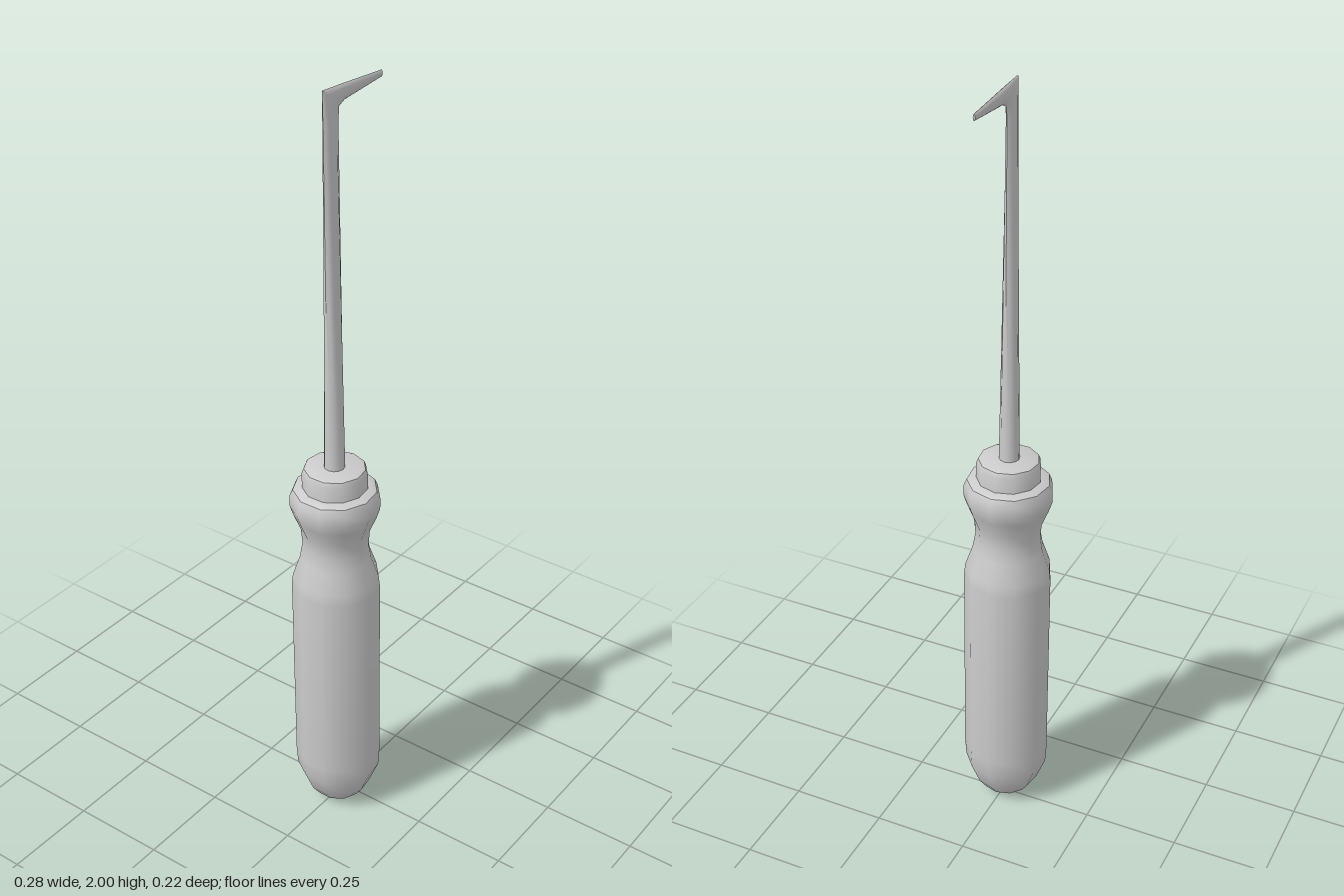
import * as THREE from 'three';
import { toCreasedNormals } from 'three/addons/utils/BufferGeometryUtils.js';

const SIDES = 11;
const CREASE = 0.7;

// Turned part: [radius, height] pairs from bottom to top, one vertex facing +x
function turned(name, profile, material) {
  const points = profile.map(([r, y]) => new THREE.Vector2(r, y));
  const geometry = new THREE.LatheGeometry(points, SIDES, Math.PI / 2);
  const mesh = new THREE.Mesh(toCreasedNormals(geometry, CREASE), material);
  mesh.name = name;
  return mesh;
}

// Loft of elliptical sections: [outer x, outer y, inner x, inner y, half thickness]
function loft(sections, sides) {
  const positions = [];
  const index = [];
  for (const [ox, oy, ix, iy, t] of sections) {
    for (let k = 0; k < sides; k++) {
      const a = (k / sides) * Math.PI * 2;
      const s = (1 + Math.cos(a)) / 2;
      positions.push(ox + (ix - ox) * s, oy + (iy - oy) * s, t * Math.sin(a));
    }
  }
  for (let i = 0; i < sections.length - 1; i++) {
    for (let k = 0; k < sides; k++) {
      const a = i * sides + k;
      const b = i * sides + ((k + 1) % sides);
      index.push(a, a + sides, b + sides, a, b + sides, b);
    }
  }
  // End caps
  const last = (sections.length - 1) * sides;
  for (let k = 1; k < sides - 1; k++) {
    index.push(0, k, k + 1, last, last + k + 1, last + k);
  }
  const geometry = new THREE.BufferGeometry();
  geometry.setAttribute('position', new THREE.Float32BufferAttribute(positions, 3));
  geometry.setIndex(index);
  return toCreasedNormals(geometry, CREASE);
}

export function createModel() {
  const model = new THREE.Group();
  model.name = 'hookTool';
  const grey = new THREE.MeshStandardMaterial({ color: 0xcccccc });

  // Handle and collar share a slightly leaning axis
  const grip = new THREE.Group();
  grip.name = 'grip';
  grip.position.x = -0.021;
  grip.rotation.z = 0.0135;
  grip.add(turned('handle', [
    [0, 0.002], [0.035, 0.006], [0.065, 0.022], [0.085, 0.05], [0.109, 0.11],
    [0.112, 0.16], [0.112, 0.7], [0.109, 0.73], [0.09, 0.785], [0.083, 0.825],
    [0.086, 0.865], [0.104, 0.91], [0.112, 0.935], [0.112, 0.965], [0.104, 0.983],
    [0.09, 0.989], [0, 0.989],
  ], grey));
  grip.add(turned('collar', [
    [0.081, 0.975], [0.081, 1.03], [0.076, 1.042], [0.068, 1.045], [0, 1.045],
  ], grey));
  model.add(grip);

  // Round shaft flattening upward, bent into a tapering hook
  const shaft = new THREE.Mesh(loft([
    [-0.062, 1.03, -0.010, 1.03, 0.026],
    [-0.068, 1.5, -0.016, 1.5, 0.017],
    [-0.074, 1.92, -0.021, 1.92, 0.009],
    [-0.077, 2.0, -0.016, 1.948, 0.007],
    [-0.01, 1.996, 0.002, 1.957, 0.006],
    [0.142, 1.985, 0.142, 1.969, 0.003],
  ], 12), grey);
  shaft.name = 'shaftAndHook';
  model.add(shaft);

  return model;
}
